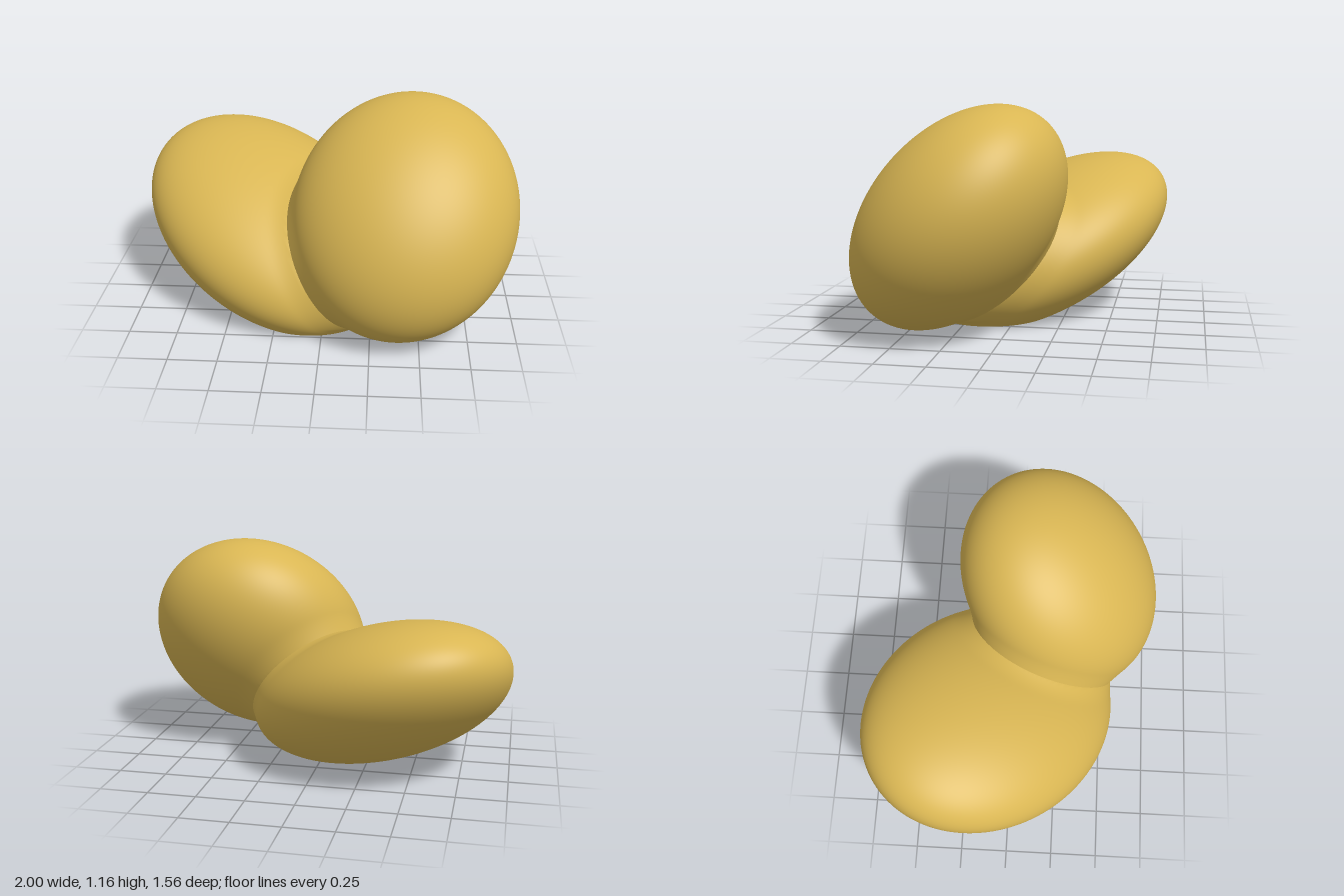
import * as THREE from 'three';
import { mergeVertices } from 'three/addons/utils/BufferGeometryUtils.js';

// Tilted ellipsoid: centre, half extents and tilt terms. Its sphere rings stay level,
// so it can be cut by the ground by shortening the sphere.
function ellipsoid(center, [hx, hy, hz], { xy, yz, xz }) {
  const sx = xy / hy, sz = yz / hy;
  const a = Math.sqrt(hx * hx - sx * sx);
  const b = (xz - sx * sz) / a;
  const c = Math.sqrt(hz * hz - sz * sz - b * b);
  const matrix = new THREE.Matrix4().set(
    a, sx, 0, center[0],
    0, hy, 0, center[1],
    b, sz, c, center[2],
    0, 0, 0, 1);
  const inverse = matrix.clone().invert();
  const normalMatrix = new THREE.Matrix3().getNormalMatrix(matrix);
  const cut = Math.max(-1, -center[1] / hy);
  // Approximate signed distance from a point to the surface
  const distance = (p) => {
    const q = p.clone().applyMatrix4(inverse);
    const r = q.length();
    return (r - 1) * r / q.applyMatrix3(normalMatrix).length();
  };
  return { matrix, cut, distance };
}

const SEGMENTS = 160;
const BLEND = 0.12;

// Lobe surface, swelling softly where it meets the other lobe
function lobeGeometry(lobe, other) {
  const sphere = new THREE.SphereGeometry(1, SEGMENTS, 120, 0, Math.PI * 2, 0, Math.acos(lobe.cut));
  sphere.applyMatrix4(lobe.matrix);
  const pos = sphere.attributes.position, nor = sphere.attributes.normal;
  const p = new THREE.Vector3(), n = new THREE.Vector3();
  for (let i = 0; i < pos.count; i++) {
    p.fromBufferAttribute(pos, i);
    n.fromBufferAttribute(nor, i);
    const h = Math.max(0, 1 - Math.abs(other.distance(p)) / BLEND);
    const fade = THREE.MathUtils.clamp(p.y / 0.05, 0, 1);
    p.addScaledVector(n, h * h * BLEND / 4 * fade);
    pos.setXYZ(i, p.x, Math.max(0, p.y), p.z);
  }
  sphere.deleteAttribute('uv');
  sphere.deleteAttribute('normal');
  const merged = mergeVertices(sphere, 1e-5);
  merged.computeVertexNormals();
  return merged;
}

export function createModel() {
  const model = new THREE.Group();
  model.name = 'twoLobes';
  const gold = new THREE.MeshStandardMaterial({ color: 0xd9b653 });
  gold.name = 'gold';

  const front = ellipsoid([0.415, 0.59, 0.2325], [0.585, 0.575, 0.5475], { xy: 0.021, yz: -0.121, xz: -0.008 });
  const rear = ellipsoid([-0.31, 0.385, -0.1125], [0.69, 0.467, 0.6675], { xy: -0.131, yz: -0.153, xz: 0.0935 });

  const add = (name, geometry) => {
    const mesh = new THREE.Mesh(geometry, gold);
    mesh.name = name;
    model.add(mesh);
  };
  add('frontLobe', lobeGeometry(front, rear));
  add('rearLobe', lobeGeometry(rear, front));

  // Flat foot where the rear lobe rests on the ground
  const foot = new THREE.CircleGeometry(Math.sqrt(1 - rear.cut ** 2), SEGMENTS);
  foot.rotateX(Math.PI / 2).translate(0, rear.cut, 0).applyMatrix4(rear.matrix);
  add('flatFoot', foot);

  return model;
}
